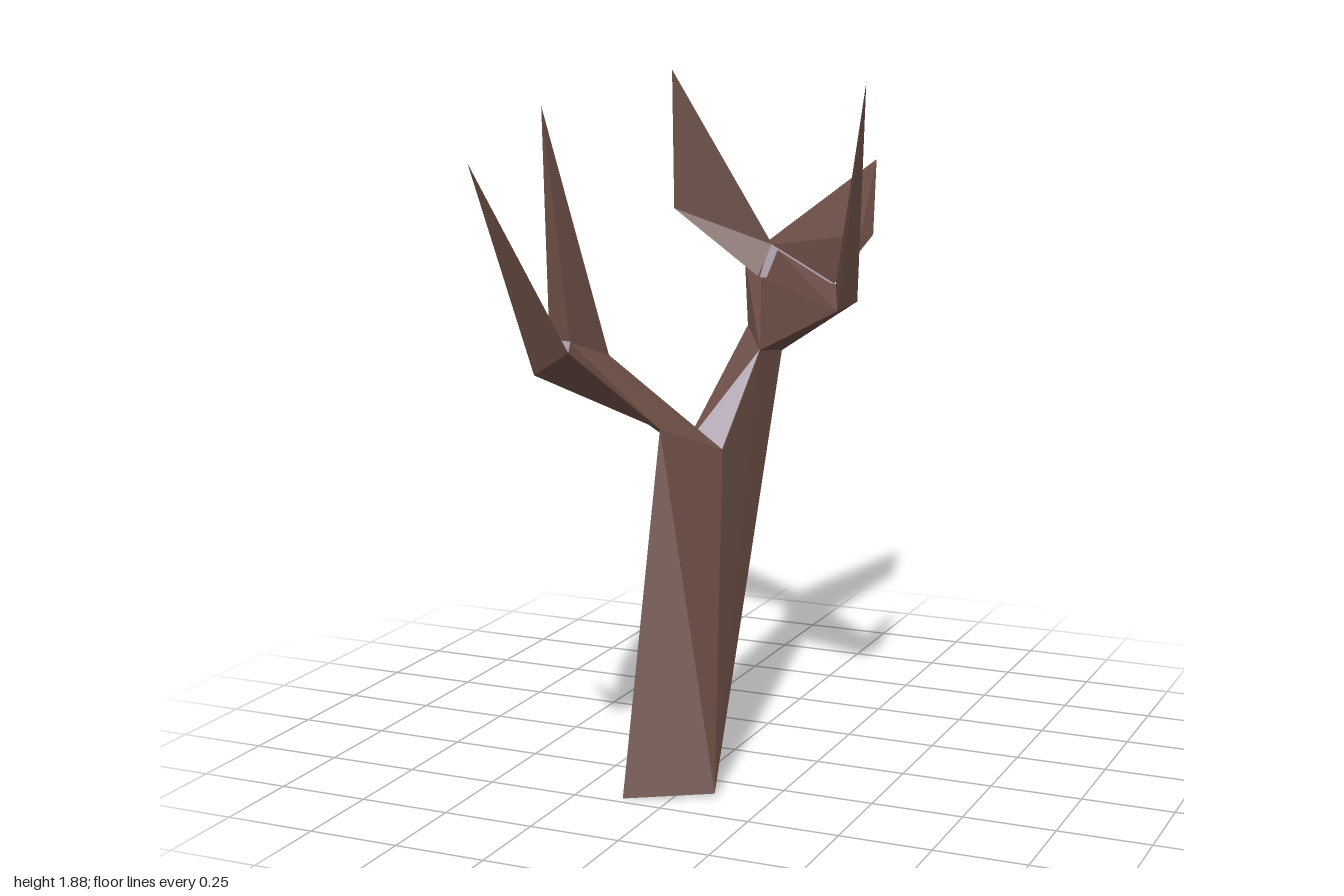
import * as THREE from 'three';
import { ConvexGeometry } from 'three/addons/geometries/ConvexGeometry.js';

const bark = new THREE.MeshStandardMaterial({ color: 0x6b4d45 });
bark.name = 'brown bark';
const paleWood = new THREE.MeshStandardMaterial({ color: 0xaea4b0 });
paleWood.name = 'pale grey wood';

// Joints shared by neighbouring limbs
const P = {
  // foot of the trunk
  footL: [0.10, 0.01, 0.37], footR: [-0.12, 0, 0.475],
  // main fork
  forkL: [0, 0.88, 0.085], forkR: [-0.11, 0.875, 0.10], forkFront: [-0.105, 0.96, 0.26],
  // top of the trunk
  neckBack: [-0.015, 1.08, -0.38], neckFront: [-0.015, 1.105, -0.215], neckR: [-0.10, 1.155, -0.33],
  // crown
  crownFront: [-0.09, 1.285, -0.39], crownTop: [-0.07, 1.375, -0.44], crownR: [-0.16, 1.33, -0.45],
  // left branch elbow and tip
  leftFront: [0.31, 1.27, 0.035], leftTop: [0.25, 1.32, -0.11], leftBack: [0.32, 1.28, -0.09],
  leftTip: [0.375, 1.87, 0.01],
  // back branch elbow and tip
  backLow: [0.085, 1.365, -0.865], backTop: [0.065, 1.37, -0.81], backTip: [0.045, 1.58, -1],
  // right twig elbow and tip
  twigElbow: [-0.33, 1.48, -0.33], twigTip: [-0.33, 1.875, -0.32],
  // front branch fork
  kneeL: [-0.28, 1.14, 0.205], kneeTop: [-0.33, 1.19, 0.335],
  kneeLow: [-0.375, 1.08, 0.205], kneeR: [-0.38, 1.16, 0.355],
  spikeTip: [-0.365, 1.815, 0.41],
  // front branch elbow and tip
  frontTop: [-0.24, 1.265, 0.715], frontL: [-0.125, 1.24, 0.745], frontLow: [-0.215, 1.18, 0.755],
  frontTip: [-0.25, 1.72, 1],
};
const points = (names) => names.split(' ').map((n) => new THREE.Vector3(...P[n]));

// Faceted limbs, each spanning the joints listed
const limbs = {
  trunk: 'footL footR forkL forkR neckBack neckFront neckR',
  trunkFront: 'footL footR forkL forkR forkFront',
  neck: 'neckBack neckFront neckR crownFront crownTop crownR',
  leftBranch: 'neckBack neckFront crownFront crownTop leftFront leftTop leftBack',
  leftBranchTip: 'leftFront leftTop leftBack leftTip',
  backBranch: 'neckBack crownTop crownR backLow backTop',
  backBranchTip: 'crownR backLow backTop backTip',
  rightTwig: 'crownFront crownTop crownR twigElbow',
  rightTwigTip: 'crownTop crownR twigElbow twigTip',
  frontBranch: 'forkL forkR forkFront kneeL kneeTop kneeLow kneeR',
  frontSpike: 'kneeL kneeTop kneeLow kneeR spikeTip',
  frontBranchEnd: 'forkFront kneeTop kneeLow kneeR frontTop frontL frontLow',
  frontBranchTip: 'frontTop frontL frontLow frontTip',
};

// Pale upper facets
const facets = {
  forkFacet: 'forkL neckFront forkR',
  leftBranchFacet: 'crownFront leftTop crownTop',
  backBranchFacet: 'crownTop backTop crownR',
  frontBranchFacet: 'kneeTop frontL frontTop',
};

// One triangle facing upwards, lifted just off the bark
function facetGeometry(corners) {
  const normal = new THREE.Triangle(...corners).getNormal(new THREE.Vector3());
  if (normal.y < 0) {
    corners.reverse();
    normal.negate();
  }
  corners.forEach((c) => c.addScaledVector(normal, 0.003));
  const geometry = new THREE.BufferGeometry().setFromPoints(corners);
  geometry.computeVertexNormals();
  return geometry;
}

export function createModel() {
  const tree = new THREE.Group();
  tree.name = 'deadTree';
  const add = (name, geometry, material) => {
    const mesh = new THREE.Mesh(geometry, material);
    mesh.name = name;
    tree.add(mesh);
  };
  for (const [name, joints] of Object.entries(limbs)) add(name, new ConvexGeometry(points(joints)), bark);
  for (const [name, joints] of Object.entries(facets)) add(name, facetGeometry(points(joints)), paleWood);
  return tree;
}
